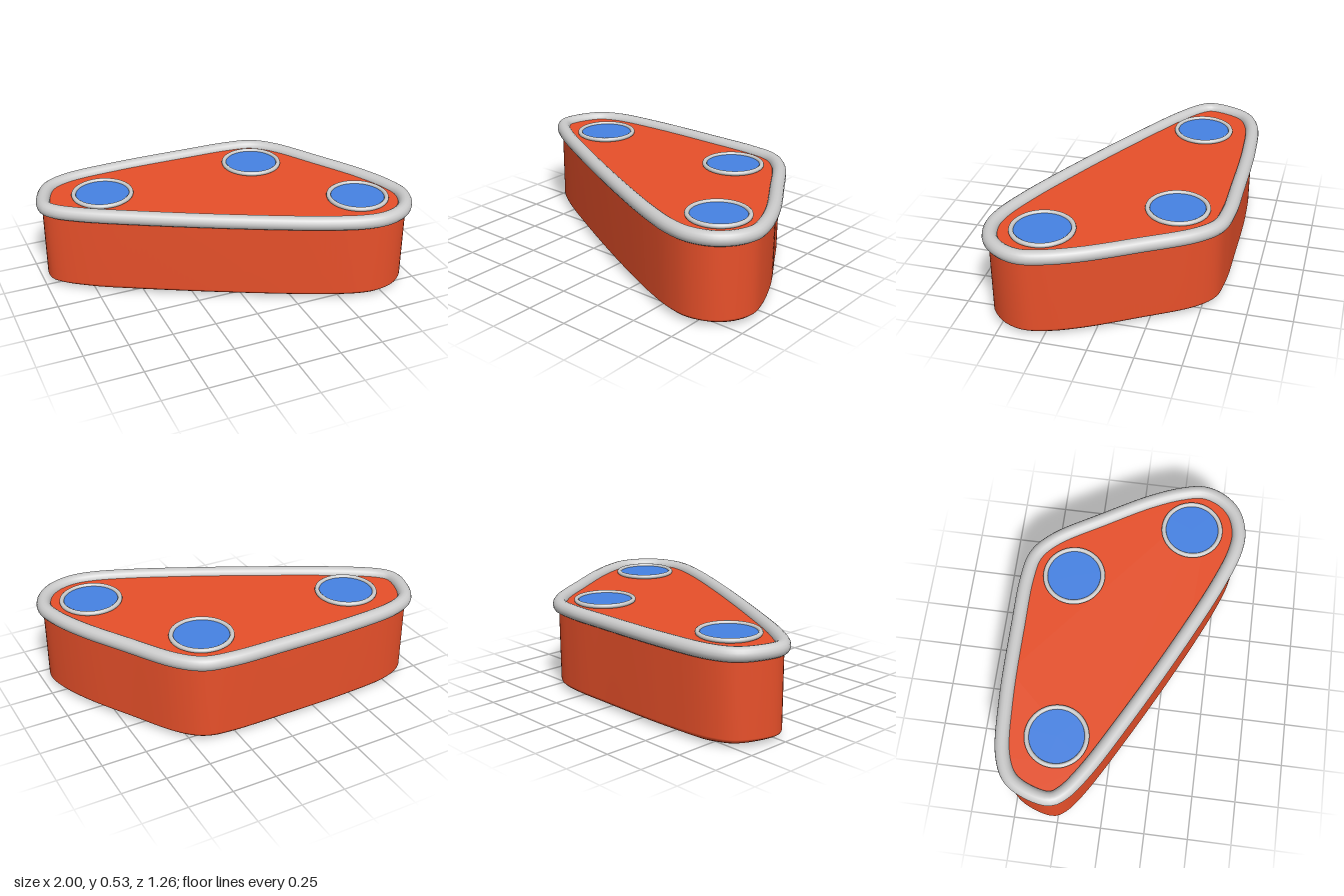
import * as THREE from 'three';

const TOP = 0.49;      // height of the rim's centre line
const BEVEL = 0.045;   // height of the rounded lower edge

// Outline of the walls and rim, as [x, z]
const OUTLINE = [
  [-0.963, -0.265], [-0.945, -0.38], [-0.88, -0.495], [-0.76, -0.555], [-0.45, -0.588], [0, -0.594],
  [0.28, -0.59], [0.43, -0.562], [0.54, -0.47], [0.71, -0.2], [0.86, 0.06], [0.935, 0.24],
  [0.957, 0.36], [0.92, 0.47], [0.84, 0.55], [0.72, 0.587], [0.6, 0.575], [0.4, 0.505],
  [0, 0.32], [-0.5, 0.062], [-0.8, -0.108], [-0.925, -0.203],
];

// Corners of the opening underneath, as [x, z]
const OPENING = [
  [-0.8, -0.29], [-0.78, -0.43], [-0.7, -0.48], [0.32, -0.49], [0.43, -0.43],
  [0.83, 0.21], [0.83, 0.38], [0.65, 0.47], [-0.66, -0.13], [-0.77, -0.24],
];

// Well positions, as [x, z]
const WELLS = [[-0.625, -0.28], [0.325, -0.323], [0.7, 0.315]];

const paint = (color) => new THREE.MeshStandardMaterial({ color, side: THREE.DoubleSide });

function part(name, geometry, material) {
  const mesh = new THREE.Mesh(geometry, material);
  mesh.name = name;
  return mesh;
}

// Nearest point to p on the edge of the opening
function nearestOnOpening(p) {
  const best = new THREE.Vector3();
  const q = new THREE.Vector3();
  let distance = Infinity;
  OPENING.forEach(([x, z], i) => {
    const [x2, z2] = OPENING[(i + 1) % OPENING.length];
    const edge = new THREE.Line3(new THREE.Vector3(x, 0, z), new THREE.Vector3(x2, 0, z2));
    edge.closestPointToPoint(p, true, q);
    if (q.distanceTo(p) < distance) {
      distance = q.distanceTo(p);
      best.copy(q);
    }
  });
  return best;
}

// Upright walls that curl inwards at the bottom, open underneath
function wallGeometry(points) {
  const rows = [[-0.05, TOP]];   // [inward share, height]
  for (let k = 0; k <= 6; k++) {
    const a = (k / 6) * Math.PI / 2;
    rows.push([1.05 * (1 - Math.cos(a)) - 0.05, BEVEL * (1 - Math.sin(a))]);
  }
  const n = points.length;
  const inner = points.map((p) => nearestOnOpening(p));
  const positions = [];
  const index = [];
  rows.forEach(([share, y], j) => {
    points.forEach((p, i) => {
      const q = p.clone().lerp(inner[i], share);
      positions.push(q.x, y, q.z);
      if (j === 0) return;
      const a = (j - 1) * n + i, b = j * n + i;
      const c = (j - 1) * n + (i + 1) % n, d = j * n + (i + 1) % n;
      index.push(a, c, b, c, d, b);
    });
  });
  const geometry = new THREE.BufferGeometry();
  geometry.setAttribute('position', new THREE.Float32BufferAttribute(positions, 3));
  geometry.setIndex(index);
  geometry.computeVertexNormals();
  return geometry;
}

export function createModel() {
  const model = new THREE.Group();
  model.name = 'tray';
  const orange = paint(0xe8502a);
  const grey = paint(0xcccccc);
  const blue = paint(0x4682e4);

  const curve = new THREE.CatmullRomCurve3(
    OUTLINE.map(([x, z]) => new THREE.Vector3(x, 0, z)), true, 'centripetal');
  const points = curve.getSpacedPoints(160).slice(0, -1);

  // Walls
  model.add(part('walls', wallGeometry(points), orange));

  // Flat deck just below the top of the rim
  const shape = new THREE.Shape(points.map((p) => new THREE.Vector2(p.x, -p.z)));
  const deck = part('deck', new THREE.ShapeGeometry(shape).rotateX(-Math.PI / 2), orange);
  deck.position.y = 0.495;
  model.add(deck);

  // Round rim along the outline
  const rim = part('rim', new THREE.TubeGeometry(curve, 200, 0.04, 16, true), grey);
  rim.position.y = TOP;
  model.add(rim);

  // Three blue discs, each in a grey ring
  WELLS.forEach(([x, z]) => {
    const well = new THREE.Group();
    well.name = 'well';
    well.position.set(x, 0.507, z);
    well.add(part('ring', new THREE.TorusGeometry(0.164, 0.013, 10, 48).rotateX(Math.PI / 2), grey));
    const disc = part('disc', new THREE.CircleGeometry(0.16, 48).rotateX(-Math.PI / 2), blue);
    well.add(disc);
    model.add(well);
  });

  return model;
}
